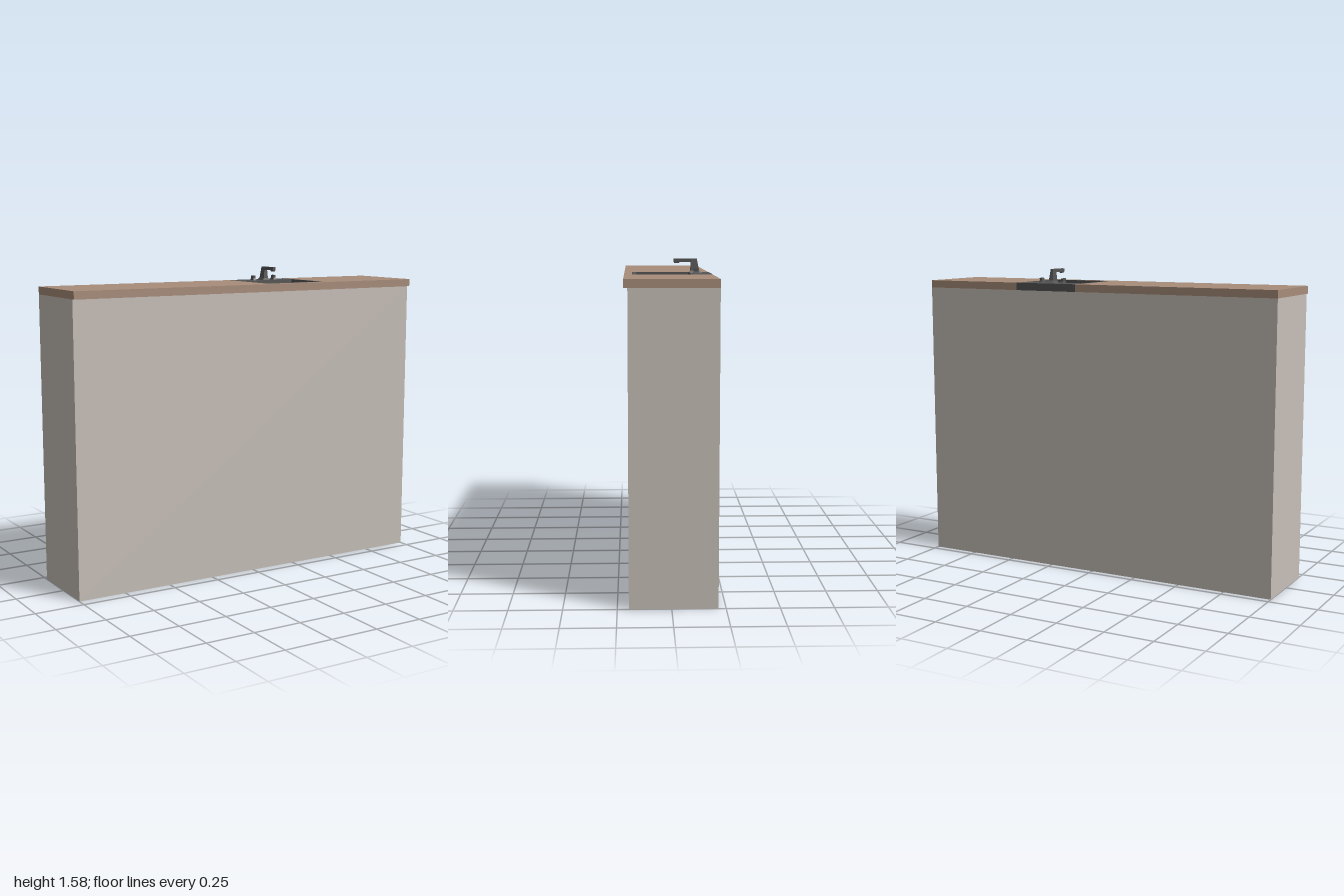
import * as THREE from 'three';

const material = (color) => new THREE.MeshStandardMaterial({ color, flatShading: true });
const cabinetMat = material(0xc8c0b9);
const counterMat = material(0xa88d7a);
const sinkMat = material(0x555555);

const TOP = 1.506, UNDER = 1.467, BACK = -0.215;
const FLOOR = 1.29; // basin floor height

// Corner points of a rectangle in plan (x, z)
const rect = (x0, x1, z0, z1) =>
  [[x0, z0], [x1, z0], [x1, z1], [x0, z1]].map(([x, z]) => new THREE.Vector2(x, z));

// Plan outline with an optional hole, extruded downwards from y = top
function slab(name, points, hole, top, thickness, mat) {
  const shape = new THREE.Shape(points);
  if (hole) shape.holes.push(new THREE.Path(hole));
  const geo = new THREE.ExtrudeGeometry(shape, { depth: thickness, bevelEnabled: false });
  geo.rotateX(Math.PI / 2).translate(0, top, 0);
  const mesh = new THREE.Mesh(geo, mat);
  mesh.name = name;
  return mesh;
}

// Box whose bottom and top rectangles [x0, x1, z0, z1] differ
function taperedBox(name, y0, bottom, y1, top, mat) {
  const geo = new THREE.BoxGeometry(1, 1, 1);
  const p = geo.attributes.position;
  for (let i = 0; i < p.count; i++) {
    const r = p.getY(i) > 0 ? top : bottom;
    p.setXYZ(i, p.getX(i) > 0 ? r[1] : r[0], p.getY(i) > 0 ? y1 : y0, p.getZ(i) > 0 ? r[3] : r[2]);
  }
  geo.computeVertexNormals();
  const mesh = new THREE.Mesh(geo, mat);
  mesh.name = name;
  return mesh;
}

export function createModel() {
  const model = new THREE.Group();
  model.name = 'sinkCounter';

  // Cabinet: a box left open at the top so the basin can hang inside
  const body = new THREE.BoxGeometry(2, UNDER, 0.412);
  const index = Array.from(body.index.array);
  index.splice(12, 6);
  body.setIndex(index);
  body.clearGroups();
  body.translate(0, UNDER / 2, BACK + 0.206);
  const cabinet = new THREE.Mesh(body, cabinetMat);
  cabinet.name = 'cabinet';
  model.add(cabinet);

  // Countertop with a notch at the back for the sink
  const outline = [[-1, BACK], [0.095, BACK], [0.095, 0.177], [0.45, 0.177],
    [0.45, BACK], [1, BACK], [1, 0.215], [-1, 0.215]].map(([x, z]) => new THREE.Vector2(x, z));
  model.add(slab('countertop', outline, null, TOP, TOP - UNDER, counterMat));

  // Sink: rim, basin walls, floor and drain
  const sink = new THREE.Group();
  sink.name = 'sink';
  const opening = rect(0.107, 0.438, -0.112, 0.155);
  const drain = rect(0.24, 0.305, -0.02, 0.07);
  sink.add(
    slab('sinkRim', rect(0.095, 0.45, BACK - 0.002, 0.177), opening, TOP, TOP - UNDER, sinkMat),
    slab('basinWalls', rect(0.1, 0.445, -0.119, 0.162), opening, UNDER, UNDER - FLOOR, sinkMat),
    slab('basinFloor', rect(0.1, 0.445, -0.119, 0.162), drain, FLOOR, 0.012, sinkMat),
    slab('drainStep', drain, rect(0.252, 0.293, 0, 0.057), FLOOR - 0.006, 0.01, sinkMat),
    slab('drainBottom', drain, null, FLOOR - 0.016, 0.005, sinkMat),
  );
  model.add(sink);

  // Faucet: flared foot, column and spout with a lowered tip
  const faucet = new THREE.Group();
  faucet.name = 'faucet';
  faucet.add(
    taperedBox('faucetFoot', TOP, [0.252, 0.293, -0.176, -0.112],
      1.518, [0.26, 0.285, -0.16, -0.115], sinkMat),
    taperedBox('faucetColumn', 1.518, [0.26, 0.285, -0.16, -0.115],
      1.578, [0.265, 0.28, -0.148, -0.119], sinkMat),
    taperedBox('spout', 1.561, [0.265, 0.28, -0.125, -0.033],
      1.578, [0.265, 0.28, -0.125, -0.033], sinkMat),
    taperedBox('spoutTip', 1.555, [0.267, 0.278, -0.058, -0.035],
      1.561, [0.266, 0.279, -0.062, -0.033], sinkMat),
  );

  // Two tap handles: a stem with a small lever leaning outwards
  for (const side of [-1, 1]) {
    const x = 0.2725 + side * 0.064;
    const lean = side * 0.002;
    faucet.add(
      taperedBox('handleStem', TOP, [x - 0.01, x + 0.01, -0.16, -0.124],
        1.517, [x - 0.007, x + 0.007, -0.154, -0.13], sinkMat),
      taperedBox('handleLever', 1.517, [x - 0.007, x + 0.007, -0.154, -0.128],
        1.531, [x - 0.006 + lean, x + 0.006 + lean, -0.154, -0.128], sinkMat),
    );
  }
  model.add(faucet);

  return model;
}
